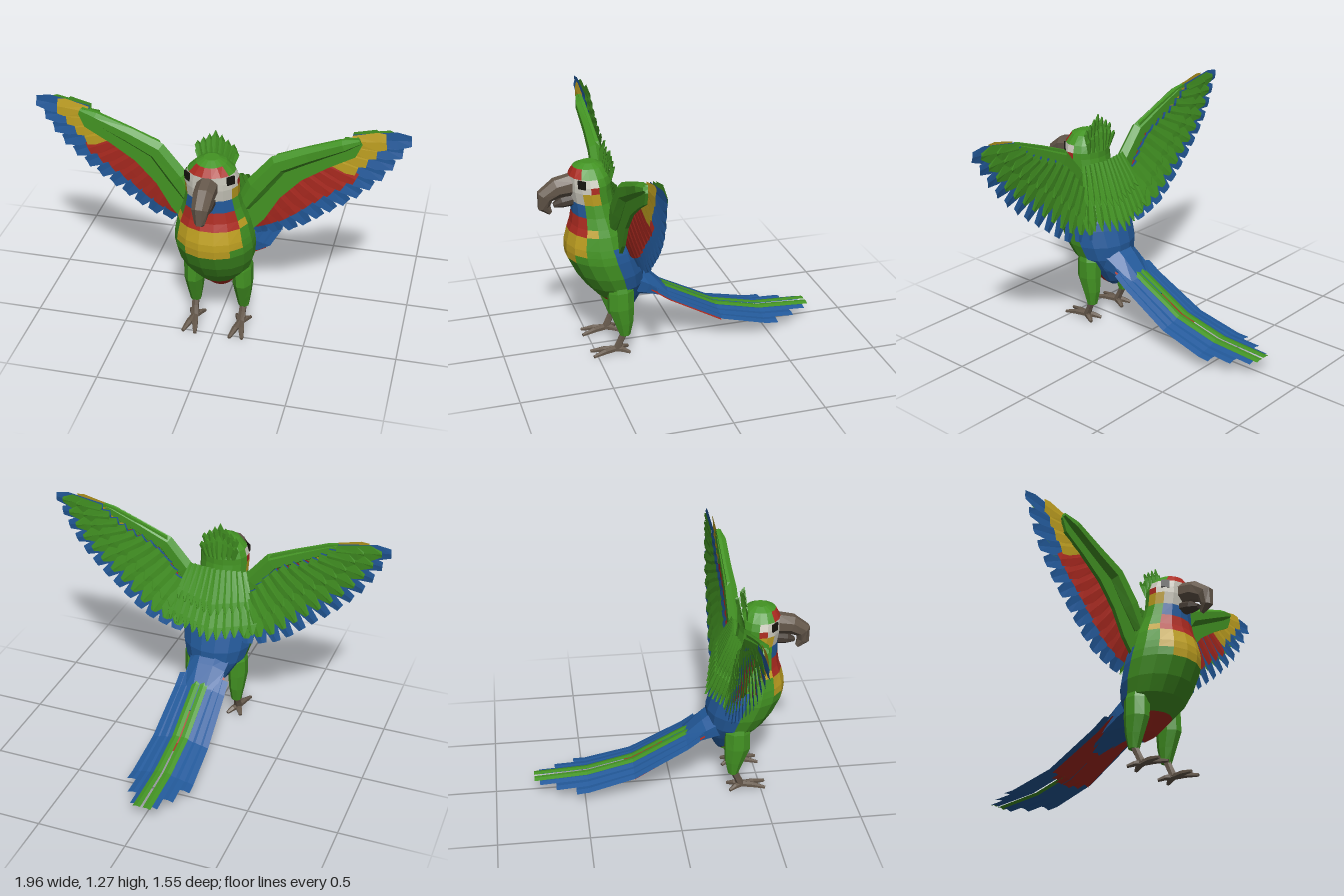
import * as THREE from 'three';

const V = (x, y, z) => new THREE.Vector3(x, y, z);
const material = (name, color) =>
  new THREE.MeshStandardMaterial({ name, color, flatShading: true, side: THREE.DoubleSide });

const green = material('leaf green', 0x439423);
const blue = material('deep blue', 0x235a9b);
const red = material('red', 0xac2a20);
const yellow = material('golden yellow', 0xbfa021);
const white = material('cheek white', 0xcbc9bd);
const brown = material('horn brown', 0x65584b);
const darkHorn = material('dark horn', 0x463d35);
const black = material('eye black', 0x17140f);

function meshFrom(positions, mat, name) {
  const g = new THREE.BufferGeometry();
  g.setAttribute('position', new THREE.Float32BufferAttribute(positions, 3));
  g.computeVertexNormals();
  const m = new THREE.Mesh(g, mat);
  m.name = name;
  return m;
}

// Closed loft through elliptical stations [x, y, z, ru, rv]; paint is a material or (row, angle) => material
function loft(name, stations, sides, paint, axis = V(1, 0, 0), fixedTangent = null) {
  const centres = stations.map(s => V(s[0], s[1], s[2]));
  const last = stations.length - 1, step = Math.PI * 2 / sides;
  const rings = stations.map((s, i) => {
    const t = fixedTangent ||
      centres[Math.min(i + 1, last)].clone().sub(centres[Math.max(i - 1, 0)]).normalize();
    const v = t.clone().cross(axis).normalize(), u = v.clone().cross(t).normalize();
    return Array.from({ length: sides }, (_, j) => centres[i].clone()
      .addScaledVector(u, s[3] * Math.cos((j + 0.5) * step))
      .addScaledVector(v, s[4] * Math.sin((j + 0.5) * step)));
  });
  const buckets = new Map();
  const pick = (i, a) => (typeof paint === 'function' ? paint(i, a) : paint);
  const tri = (mat, ...pts) => {
    if (!buckets.has(mat)) buckets.set(mat, []);
    pts.forEach(p => buckets.get(mat).push(p.x, p.y, p.z));
  };
  for (let j = 0; j < sides; j++) {
    const k = (j + 1) % sides, a = (j + 1) * step;
    for (let i = 0; i < last; i++) {
      const mat = pick(i, a);
      tri(mat, rings[i][j], rings[i][k], rings[i + 1][k]);
      tri(mat, rings[i][j], rings[i + 1][k], rings[i + 1][j]);
    }
    tri(pick(0, a), centres[0], rings[0][k], rings[0][j]);
    tri(pick(last - 1, a), centres[last], rings[last][j], rings[last][k]);
  }
  const group = new THREE.Group();
  group.name = name;
  buckets.forEach((pos, mat) => group.add(meshFrom(pos, mat, `${name} ${mat.name}`)));
  return group;
}

// Thin feather strip along a path, with a raised middle ridge
function ribbon(name, path, halfWidths, side, lift, mat) {
  const rows = path.map((p, i) => [
    p.clone().addScaledVector(side, -halfWidths[i]),
    p.clone().add(lift),
    p.clone().addScaledVector(side, halfWidths[i])]);
  const pos = [];
  for (let i = 0; i < rows.length - 1; i++) for (let c = 0; c < 2; c++) {
    const [a, b, d, e] = [rows[i][c], rows[i][c + 1], rows[i + 1][c + 1], rows[i + 1][c]];
    [a, b, d, a, d, e].forEach(p => pos.push(p.x, p.y, p.z));
  }
  return meshFrom(pos, mat, name);
}

// Straight feather; blunt is the tip width as a share of the full width
function feather(name, root, tip, half, blunt, mat, tilt = 0, liftZ = -0.008) {
  const d = tip.clone().sub(root);
  const side = V(d.y, -d.x, 0).normalize().setZ(tilt);
  return ribbon(name, [root, root.clone().lerp(tip, 0.75), tip],
    [half * 0.6, half, half * blunt], side, V(0, 0, liftZ), mat);
}

// Body and head in one skin: y, front z, back z, half width
const BODY = [
  [0.21, 0.31, 0.27, 0.02], [0.24, 0.37, 0.25, 0.06], [0.32, 0.46, 0.21, 0.12], [0.40, 0.53, 0.20, 0.18],
  [0.48, 0.585, 0.20, 0.205], [0.575, 0.63, 0.225, 0.215], [0.62, 0.635, 0.24, 0.212], [0.66, 0.633, 0.26, 0.205],
  [0.73, 0.615, 0.29, 0.19], [0.77, 0.60, 0.31, 0.175], [0.83, 0.59, 0.34, 0.155], [0.90, 0.59, 0.36, 0.14],
  [0.965, 0.60, 0.37, 0.142], [1.0, 0.60, 0.37, 0.14], [1.04, 0.60, 0.38, 0.125], [1.085, 0.575, 0.41, 0.08],
  [1.105, 0.53, 0.45, 0.04]];

// For each row: [largest angle from the front in degrees, colour] from the front round to the side
const MARKS = {
  0: [[95, red]], 1: [[95, red]], 5: [[30, yellow]], 6: [[50, yellow]], 7: [[50, yellow]],
  8: [[50, red], [70, yellow]], 9: [[50, red]], 10: [[50, blue]], 11: [[50, white], [95, yellow]],
  12: [[70, white], [95, red]], 13: [[95, white]], 14: [[50, red]]
};

function bodyPaint(row, a) {
  const angle = Math.abs(Math.atan2(Math.cos(a), -Math.sin(a))) * 180 / Math.PI;
  for (const [limit, mat] of MARKS[row] || []) if (angle < limit) return mat;
  return row < 7 && angle > 101 ? blue : green;
}

function makeHeadParts() {
  const g = new THREE.Group();
  g.name = 'head parts';
  g.add(loft('upper beak', [[0, 0.985, 0.57, 0.058, 0.065], [0, 0.972, 0.665, 0.056, 0.056],
    [0, 0.93, 0.73, 0.046, 0.048], [0, 0.87, 0.735, 0.03, 0.036], [0, 0.832, 0.703, 0.012, 0.012]], 8, brown));
  g.add(loft('lower beak', [[0, 0.9, 0.57, 0.045, 0.035], [0, 0.888, 0.64, 0.04, 0.03],
    [0, 0.875, 0.685, 0.02, 0.012]], 8, darkHorn));
  for (const s of [-1, 1]) {
    const eye = new THREE.Mesh(new THREE.BoxGeometry(0.045, 0.045, 0.009), black);
    eye.name = 'eye';
    eye.position.set(s * 0.113, 1.015, 0.551);
    eye.rotation.y = s * 0.8;
    g.add(eye);
  }
  // Crest in two rows
  for (let k = -3; k <= 3; k++) {
    const n = Math.abs(k);
    g.add(feather('crest feather', V(k * 0.026, 1.05, 0.42 - n * 0.004), V(k * 0.032, 1.21 - n * 0.024, 0.40), 0.02, 0.05, green));
    g.add(feather('crest feather', V(k * 0.026, 1.0, 0.37 + n * 0.008), V(k * 0.034, 1.15 - n * 0.018, 0.375), 0.022, 0.05, green));
  }
  return g;
}

function makeWing() {
  const g = new THREE.Group();
  g.name = 'wing';
  const curve = pts => new THREE.CatmullRomCurve3(pts.map(([x, y]) => V(x, y, 0.345 - (1.26 - y) * 0.1)));
  const tips = curve([[0.98, 1.235], [0.87, 1.03], [0.74, 0.88], [0.57, 0.735], [0.39, 0.6], [0.22, 0.55]]);
  const roots = curve([[0.69, 1.21], [0.54, 1.11], [0.36, 1.03], [0.25, 0.91], [0.17, 0.76]]);
  const COUNT = 13;
  for (let i = 0; i < COUNT; i++) {
    const t = i / (COUNT - 1), root = roots.getPointAt(t).setZ(0.345), tip = tips.getPointAt(t);
    // A layer ends at a share of the flight feather and sits dz in front of it
    const layer = (name, share, dz, half, blunt, mat) => g.add(feather(name,
      root.clone().add(V(0, 0, dz)), root.clone().lerp(tip, share).add(V(0, 0, dz)), half, blunt, mat, 0.1,
      dz > 0 ? 0.004 : -0.004));
    layer('flight feather', 1, 0, 0.047, 0.6, blue);
    if (i < 4) layer('yellow covert', 0.58, 0.016, 0.05, 0.85, yellow);
    else layer('red covert', 0.73, 0.014, 0.045, 0.75, red);
    layer('long back covert', 0.84, -0.016, 0.048, 0.35, green);
    layer('short back covert', 0.52, -0.032, 0.042, 0.3, green);
  }
  // Green front of the wing
  const outline = [[0.13, 0.66], [0.16, 0.82], [0.27, 1.0], [0.31, 1.09], [0.47, 1.155], [0.63, 1.215], [0.72, 1.235],
    [0.74, 1.2], [0.71, 1.13], [0.58, 1.055], [0.44, 0.96], [0.33, 0.84], [0.25, 0.7], [0.18, 0.62]];
  const front = new THREE.Mesh(new THREE.ExtrudeGeometry(
    new THREE.Shape(outline.map(([x, y]) => new THREE.Vector2(x, y))), { depth: 0.02, bevelEnabled: false }), green);
  front.name = 'front wing coverts';
  front.position.z = 0.358;
  g.add(front);
  g.add(loft('wing arm', [[0.14, 0.78, 0.39, 0.03, 0.04], [0.21, 0.9, 0.385, 0.04, 0.06], [0.32, 1.04, 0.38, 0.038, 0.055],
    [0.47, 1.11, 0.378, 0.032, 0.045], [0.65, 1.19, 0.38, 0.03, 0.032], [0.73, 1.22, 0.375, 0.015, 0.015]],
    6, green, V(0, 0, 1)));
  return g;
}

function makeLeg() {
  const g = new THREE.Group();
  g.name = 'leg';
  g.add(loft('thigh', [[0.125, 0.46, 0.37, 0.045, 0.05], [0.13, 0.38, 0.36, 0.06, 0.075], [0.135, 0.28, 0.36, 0.056, 0.075],
    [0.135, 0.19, 0.345, 0.044, 0.055], [0.135, 0.11, 0.34, 0.03, 0.03]], 8, green));
  g.add(loft('shank', [[0.135, 0.14, 0.335, 0.022, 0.022], [0.133, 0.075, 0.365, 0.02, 0.02],
    [0.13, 0.02, 0.39, 0.026, 0.022]], 6, brown));
  for (const [x, z] of [[0.095, 0.53], [0.165, 0.525], [0.09, 0.315], [0.17, 0.32]])
    g.add(loft('toe', [[0.13, 0.024, 0.39, 0.02, 0.018], [(0.13 + x) / 2, 0.022, (0.39 + z) / 2, 0.018, 0.016],
      [x, 0.01, z, 0.01, 0.009]], 6, brown));
  return g;
}

// Half of the fanned tail
function makeTailHalf() {
  const g = new THREE.Group();
  g.name = 'tail half';
  const line = [[0.2, 0.41], [0.08, 0.325], [-0.22, 0.165], [-0.48, 0.103], [-0.78, 0.086]];
  const strip = (name, x0, x1, half, start, end, dy, mat) => {
    const at = z => {
      let i = 0;
      while (i < 3 && z < line[i + 1][0]) i++;
      const [z0, y0] = line[i], [z1, y1] = line[i + 1];
      return V(x0 + (x1 - x0) * (start - z) / (start - end), y0 + (y1 - y0) * (z - z0) / (z1 - z0) + dy, z);
    };
    const zs = [start, ...line.map(p => p[0]).filter(z => z < start && z > end), end];
    g.add(ribbon(name, zs.map(at), zs.map(() => half), V(1, -0.1, 0), V(0, 0.005, 0), mat));
  };
  strip('central tail feather', 0.024, 0.029, 0.022, 0.1, -0.78, 0.004, green);
  strip('inner tail feather', 0.045, 0.05, 0.028, 0.18, -0.75, -0.008, blue);
  strip('middle tail feather', 0.08, 0.1, 0.032, 0.18, -0.66, -0.018, blue);
  strip('outer tail feather', 0.115, 0.15, 0.033, 0.15, -0.55, -0.028, blue);
  for (const [x0, x1, end] of [[0.025, 0.03, -0.28], [0.06, 0.08, -0.26], [0.09, 0.12, -0.22]])
    strip('under tail feather', x0, x1, 0.027, 0.18, end, -0.046, red);
  return g;
}

export function createModel() {
  const model = new THREE.Group();
  model.name = 'parrot';
  model.add(loft('body', BODY.map(([y, f, b, rx]) => [0, y, (f + b) / 2, rx, (f - b) / 2]),
    16, bodyPaint, V(1, 0, 0), V(0, 1, 0)));
  model.add(makeHeadParts());
  model.add(loft('tail base', [[0, 0.4, 0.29, 0.13, 0.1], [0, 0.36, 0.2, 0.12, 0.07],
    [0, 0.295, 0.08, 0.095, 0.028], [0, 0.23, -0.04, 0.07, 0.01]], 8, blue));
  // Feathers draped over the back
  for (let k = -5; k <= 5; k++) {
    const n = Math.abs(k);
    model.add(feather('lower back feather', V(k * 0.038, 0.84, 0.315 + n * 0.003),
      V(k * 0.05, 0.56 + n * 0.012, 0.2 + n * 0.012), 0.032, 0.2, green, 0.1));
    model.add(feather('upper back feather', V(k * 0.03, 0.95, 0.345 + n * 0.005),
      V(k * 0.042, 0.7 + n * 0.01, 0.25 + n * 0.008), 0.03, 0.2, green, 0.1));
  }
  // Paired parts, mirrored across x
  for (const s of [1, -1]) {
    const half = new THREE.Group();
    half.name = s > 0 ? 'left side' : 'right side';
    half.add(makeWing(), makeLeg(), makeTailHalf());
    half.scale.x = s;
    model.add(half);
  }
  return model;
}
